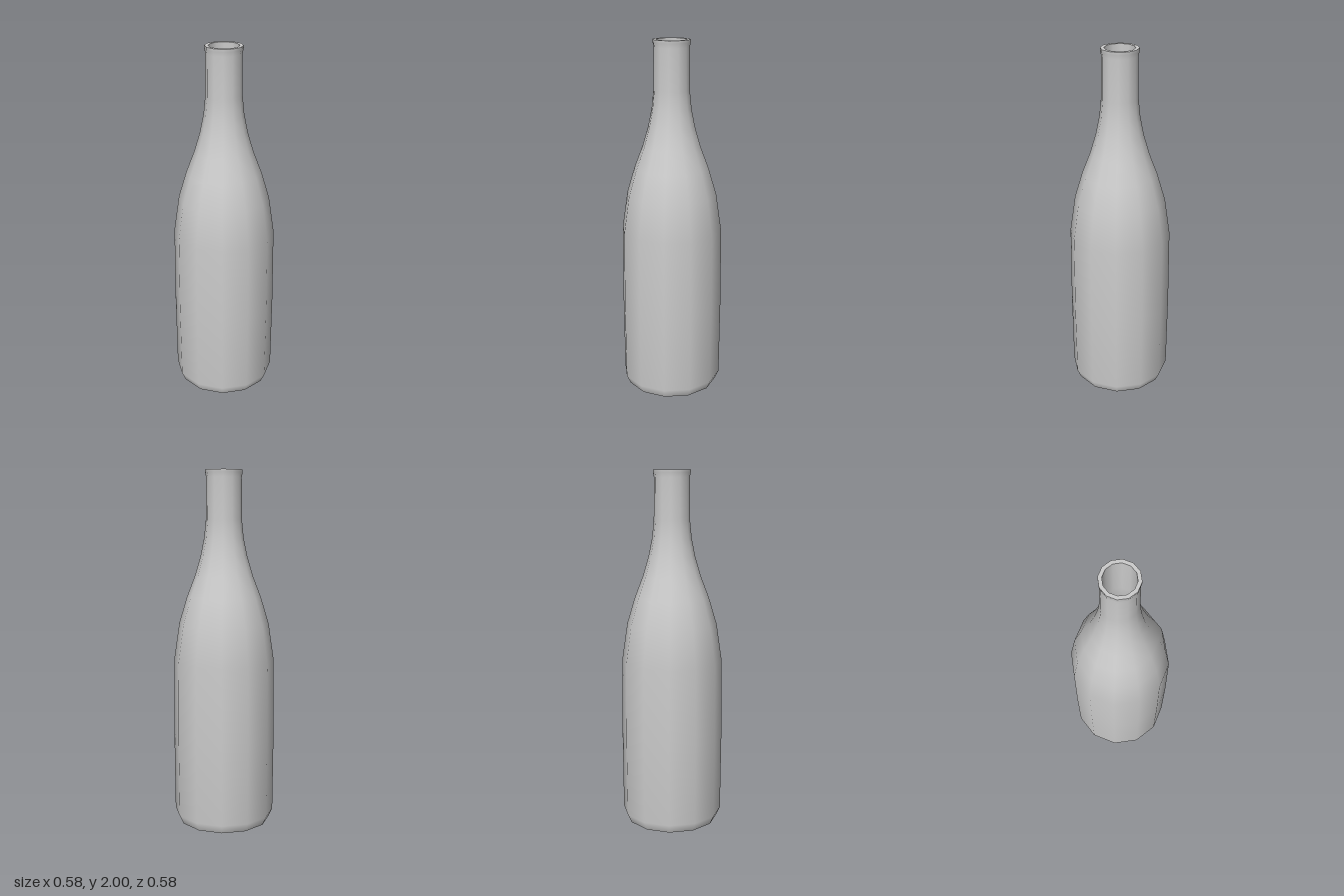
import * as THREE from 'three';

const SIDES = 12;
const WALL = 0.02;

export function createModel() {
  const bottle = new THREE.Group();
  bottle.name = 'bottle';
  const material = new THREE.MeshStandardMaterial({ color: 0xcccccc });

  // Each section is its own lathe, so shading is smooth within it and sharp between sections
  function addSection(name, profile) {
    const points = profile.map(([r, y]) => new THREE.Vector2(r, y));
    const mesh = new THREE.Mesh(new THREE.LatheGeometry(points, SIDES), material);
    mesh.name = name;
    bottle.add(mesh);
  }

  // Outer silhouette [radius, height]: chamfered foot, body, shoulder, neck, lip
  const outer = [
    [0.262, 0], [0.285, 0.05], [0.288, 0.5], [0.284, 0.94], [0.253, 1.15],
    [0.208, 1.3], [0.162, 1.42], [0.13, 1.53], [0.11, 1.63], [0.1, 1.73],
    [0.098, 1.96], [0.103, 1.985], [0.103, 2],
  ];

  // Inner wall follows the outside from the mouth down to the floor
  const inner = outer.slice(1, -2).reverse().map(([r, y]) => [Math.max(r - WALL, 0.083), y]);
  inner.unshift([0.083, 2]);
  const [floorRadius, floorHeight] = inner[inner.length - 1];

  addSection('base', [[0, 0], outer[0]]);
  addSection('outerWall', outer);
  addSection('rim', [[0.103, 2], [0.083, 2]]);
  addSection('innerWall', inner);
  addSection('innerFloor', [[floorRadius, floorHeight], [0, floorHeight]]);

  return bottle;
}
